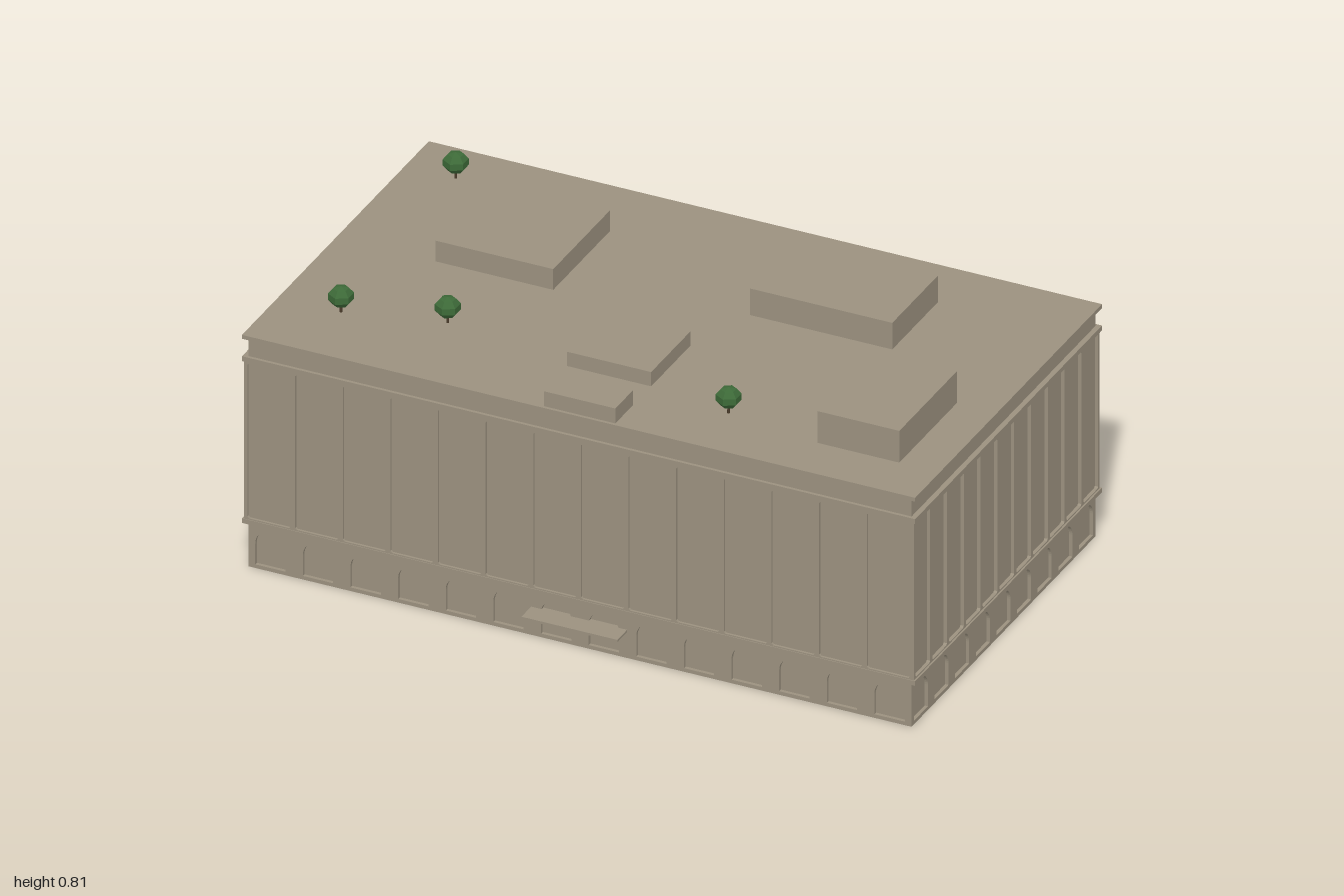
import * as THREE from 'three';

const stone = new THREE.MeshStandardMaterial({ color: 0x9b917f, name: 'stone' });
const leaf = new THREE.MeshStandardMaterial({ color: 0x3d6a38, name: 'leaf green', flatShading: true });
const bark = new THREE.MeshStandardMaterial({ color: 0x4a3b2a, name: 'bark' });

const HX = 0.985, HZ = 0.565, CZ = -0.025; // half sizes and centre of the block

function add(parent, name, geometry, material, x = 0, y = 0, z = 0) {
  const m = new THREE.Mesh(geometry, material);
  m.name = name;
  m.position.set(x, y, z);
  parent.add(m);
  return m;
}

// Box given by its limits on each axis
function block(parent, name, x0, x1, y0, y1, z0, z1) {
  return add(parent, name, new THREE.BoxGeometry(x1 - x0, y1 - y0, z1 - z0), stone,
    (x0 + x1) / 2, (y0 + y1) / 2, (z0 + z1) / 2);
}

function archHole(x, r) {
  const p = new THREE.Path();
  p.moveTo(x - r, 0.011);
  p.lineTo(x + r, 0.011);
  p.lineTo(x + r, 0.121 - r);
  p.absarc(x, 0.121 - r, r, 0, Math.PI, false);
  p.closePath();
  return p;
}

// Tall panel opening with small cut corners
function panelHole(x, h) {
  const y0 = 0.153, y1 = 0.632, c = 0.005;
  return new THREE.Path([
    [x - h + c, y0], [x + h - c, y0], [x + h, y0 + c], [x + h, y1 - c],
    [x + h - c, y1], [x - h + c, y1], [x - h, y1 - c], [x - h, y0 + c],
  ].map(([a, b]) => new THREE.Vector2(a, b)));
}

// Thin wall with a row of openings
function wallGeometry(width, y0, y1, count, pitch, half, hole, depth) {
  const w = width / 2;
  const shape = new THREE.Shape([
    new THREE.Vector2(-w, y0), new THREE.Vector2(w, y0),
    new THREE.Vector2(w, y1), new THREE.Vector2(-w, y1),
  ]);
  for (let i = 0; i < count; i++) shape.holes.push(hole((i - (count - 1) / 2) * pitch, half));
  return new THREE.ExtrudeGeometry(shape, { depth, bevelEnabled: false, curveSegments: 10 });
}

export function createModel() {
  const model = new THREE.Group();
  model.name = 'building';

  // Arcaded base: four walls around an open underside
  const base = new THREE.Group();
  base.name = 'arcadeBase';
  model.add(base);
  for (let side = 0; side < 4; side++) {
    const long = side % 2 === 0;
    const width = 2 * (long ? HX : HZ), dist = long ? HZ : HX;
    const wall = new THREE.Group();
    wall.name = 'arcadeWall';
    wall.position.z = CZ;
    wall.rotation.y = side * Math.PI / 2;
    const geo = long
      ? wallGeometry(width, 0, 0.137, 14, 0.1415, 0.045, archHole, 0.01)
      : wallGeometry(width, 0, 0.137, 9, 0.1268, 0.043, archHole, 0.01);
    add(wall, 'arches', geo, stone, 0, 0, dist - 0.01);
    add(wall, 'archBacking', new THREE.BoxGeometry(width - 0.02, 0.137, 0.006), stone,
      0, 0.0685, dist - 0.013);
    base.add(wall);
  }

  // Main block and attic
  block(model, 'mainBlock', -HX, HX, 0.137, 0.71, CZ - HZ, CZ + HZ);

  // Panel frames on the front and one side
  add(model, 'frontFrame', wallGeometry(1.99, 0.146, 0.638, 14, 0.1415, 0.0645, panelHole, 0.007),
    stone, 0, 0, CZ + HZ);
  const sideFrame = add(model, 'sideFrame',
    wallGeometry(1.142, 0.146, 0.638, 11, 0.1032, 0.045, panelHole, 0.01), stone, HX, 0, CZ);
  sideFrame.rotation.y = Math.PI / 2;

  // Ledges and roof edge
  for (const [name, y0, y1] of [
    ['lowerLedge', 0.135, 0.149], ['upperLedge', 0.635, 0.65], ['roofSlab', 0.704, 0.716],
  ]) block(model, name, -1, 1, y0, y1, -0.6, 0.549);

  // Entrance canopy
  block(model, 'canopy', -0.145, 0.14, 0.08, 0.087, 0.53, 0.6);

  // Rooftop blocks: x0, x1, top, z0, z1
  for (const [x0, x1, top, z0, z1] of [
    [-0.705, -0.355, 0.78, -0.38, -0.03],
    [0.178, 0.6, 0.798, -0.418, -0.138],
    [0.637, 0.88, 0.814, 0.042, 0.398],
    [-0.145, 0.105, 0.76, 0.078, 0.32],
    [-0.107, 0.105, 0.762, 0.432, 0.54],
  ]) block(model, 'rooftopBlock', x0, x1, 0.71, top, z0, z1);

  // Roof trees
  for (const [x, z] of [[-0.85, -0.455], [-0.815, 0.323], [-0.533, 0.25], [0.353, 0.357]]) {
    const tree = new THREE.Group();
    tree.name = 'tree';
    tree.position.set(x, 0.714, z);
    add(tree, 'trunk', new THREE.CylinderGeometry(0.003, 0.004, 0.034, 6), bark, 0, 0.017, 0);
    const crown = add(tree, 'crown', new THREE.SphereGeometry(0.037, 6, 5), leaf, 0, 0.051, 0);
    crown.scale.y = 0.83;
    crown.rotation.y = Math.PI / 2;
    model.add(tree);
  }
  return model;
}
